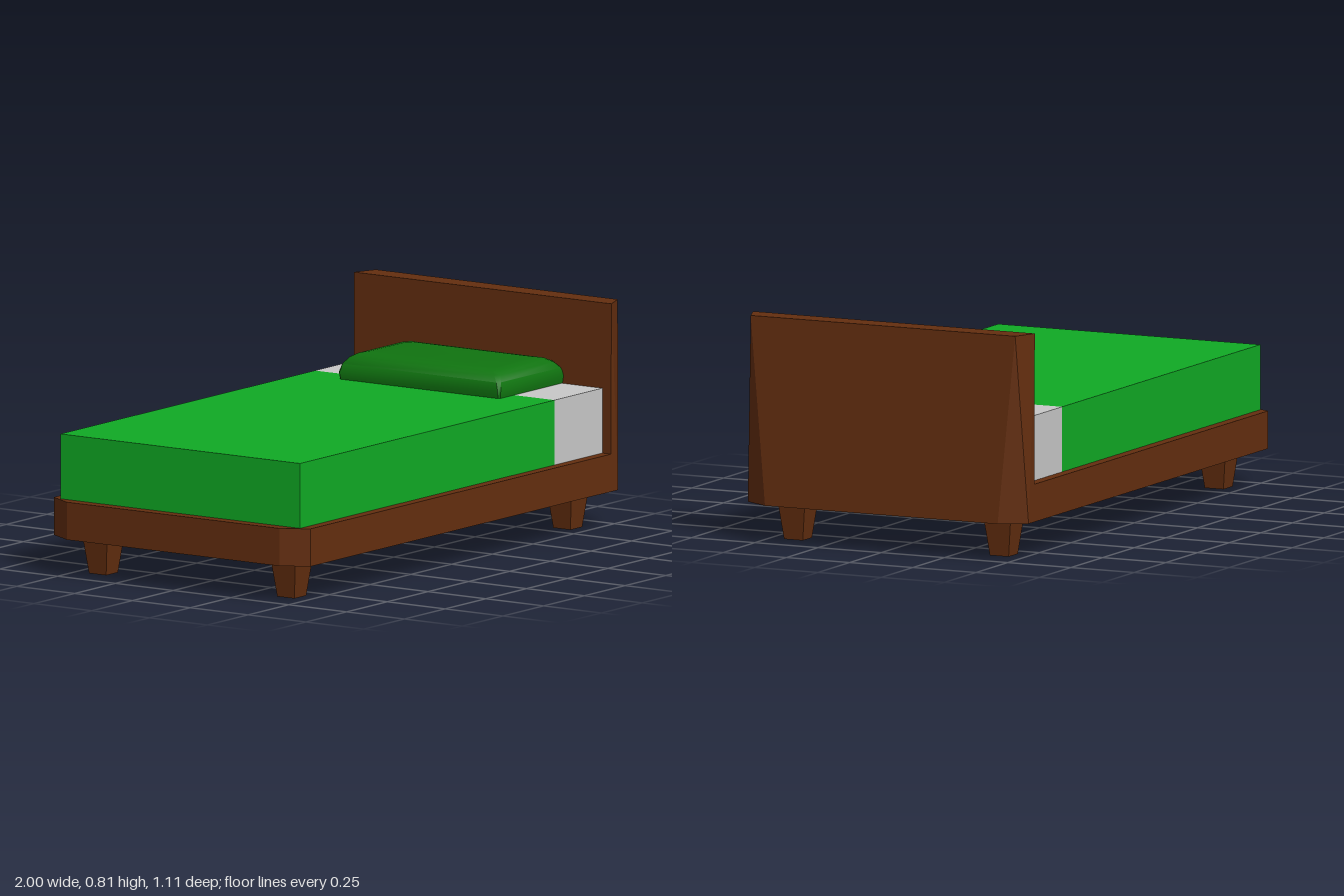
import * as THREE from 'three';
import { toCreasedNormals } from 'three/addons/utils/BufferGeometryUtils.js';

const wood = new THREE.MeshStandardMaterial({ name: 'wood', color: 0x642e0f });
const blanketGreen = new THREE.MeshStandardMaterial({ name: 'blanket green', color: 0x10aa24 });
const pillowGreen = new THREE.MeshStandardMaterial({ name: 'pillow green', color: 0x107410 });
const sheetWhite = new THREE.MeshStandardMaterial({ name: 'sheet white', color: 0xc8c8c8 });

// Closed solid through horizontal rings, bottom to top; each ring is { y, pts: [[x, z], ...] },
// with points running counterclockwise as seen from above.
function loft(rings) {
  const r = rings.map(({ y, pts }) => pts.map(([x, z]) => new THREE.Vector3(x, y, z)));
  const pos = [];
  const tri = (a, b, c) => {
    if (a.equals(b) || b.equals(c) || c.equals(a)) return;
    for (const p of [a, b, c]) pos.push(p.x, p.y, p.z);
  };
  const n = r[0].length;
  for (let k = 0; k + 1 < r.length; k++) {
    for (let i = 0; i < n; i++) {
      const j = (i + 1) % n;
      const a = r[k][i], b = r[k][j], c = r[k + 1][j], d = r[k + 1][i];
      // split along the shorter diagonal
      if (a.distanceTo(c) <= b.distanceTo(d)) { tri(a, b, c); tri(a, c, d); }
      else { tri(a, b, d); tri(b, c, d); }
    }
  }
  const low = r[0], top = r[r.length - 1];
  for (let i = 1; i + 1 < n; i++) {
    tri(low[0], low[i + 1], low[i]);
    tri(top[0], top[i], top[i + 1]);
  }
  const g = new THREE.BufferGeometry();
  g.setAttribute('position', new THREE.Float32BufferAttribute(pos, 3));
  g.computeVertexNormals();
  return g;
}

const rect = (x0, x1, z0, z1) => [[x0, z1], [x1, z1], [x1, z0], [x0, z0]];

// Rectangle with clipped corners
const clipped = (x0, x1, w, c) => [
  [x0 + c, w], [x1 - c, w], [x1, w - c], [x1, c - w],
  [x1 - c, -w], [x0 + c, -w], [x0, c - w], [x0, w - c],
];

// Mirrors a half outline across z = 0
const mirrorZ = (half) => [...half, ...half.slice().reverse().map(([x, z]) => [x, -z])];

export function createModel() {
  const bed = new THREE.Group();
  bed.name = 'bed';
  const add = (name, geometry, material) => {
    const mesh = new THREE.Mesh(geometry, material);
    mesh.name = name;
    bed.add(mesh);
  };

  // Base frame with chamfered foot corners
  const base = mirrorZ([[-1, 0.46], [-0.945, 0.555], [0.91, 0.555]]);
  add('baseFrame', loft([{ y: 0.135, pts: base }, { y: 0.27, pts: base }]), wood);

  // Headboard, chamfers widening toward the floor
  add('headboard', loft([
    { y: 0.135, pts: mirrorZ([[0.9, 0.555], [0.945, 0.555], [1, 0.46]]) },
    { y: 0.81, pts: mirrorZ([[0.9, 0.557], [0.9, 0.557], [0.987, 0.523]]) },
  ]), wood);

  // Tapered legs
  for (const x of [-0.85, 0.845]) {
    for (const z of [-0.407, 0.407]) {
      add('leg', loft([
        { y: 0, pts: rect(x - 0.036, x + 0.036, z - 0.037, z + 0.037) },
        { y: 0.14, pts: rect(x - 0.054, x + 0.054, z - 0.054, z + 0.054) },
      ]), wood);
    }
  }

  // Mattress: blanket over most of it, bare sheet at the head
  const slab = (x0, x1) => loft([0.26, 0.503].map((y) => ({ y, pts: rect(x0, x1, -0.518, 0.518) })));
  add('blanket', slab(-0.957, 0.606), blanketGreen);
  add('sheet', slab(0.606, 0.905), sheetWhite);

  // Pillow with rounded upper edges
  const pillow = [[0.504, 0.004, 0.006], [0.53, 0, 0.008], [0.56, 0.008, 0.012],
    [0.582, 0.025, 0.016], [0.594, 0.045, 0.02], [0.599, 0.075, 0.02]];
  add('pillow', toCreasedNormals(loft(pillow.map(([y, inset, corner]) => (
    { y, pts: clipped(0.507 + inset, 0.915 - inset, 0.35 - inset, corner) }
  ))), 0.75), pillowGreen);

  return bed;
}
